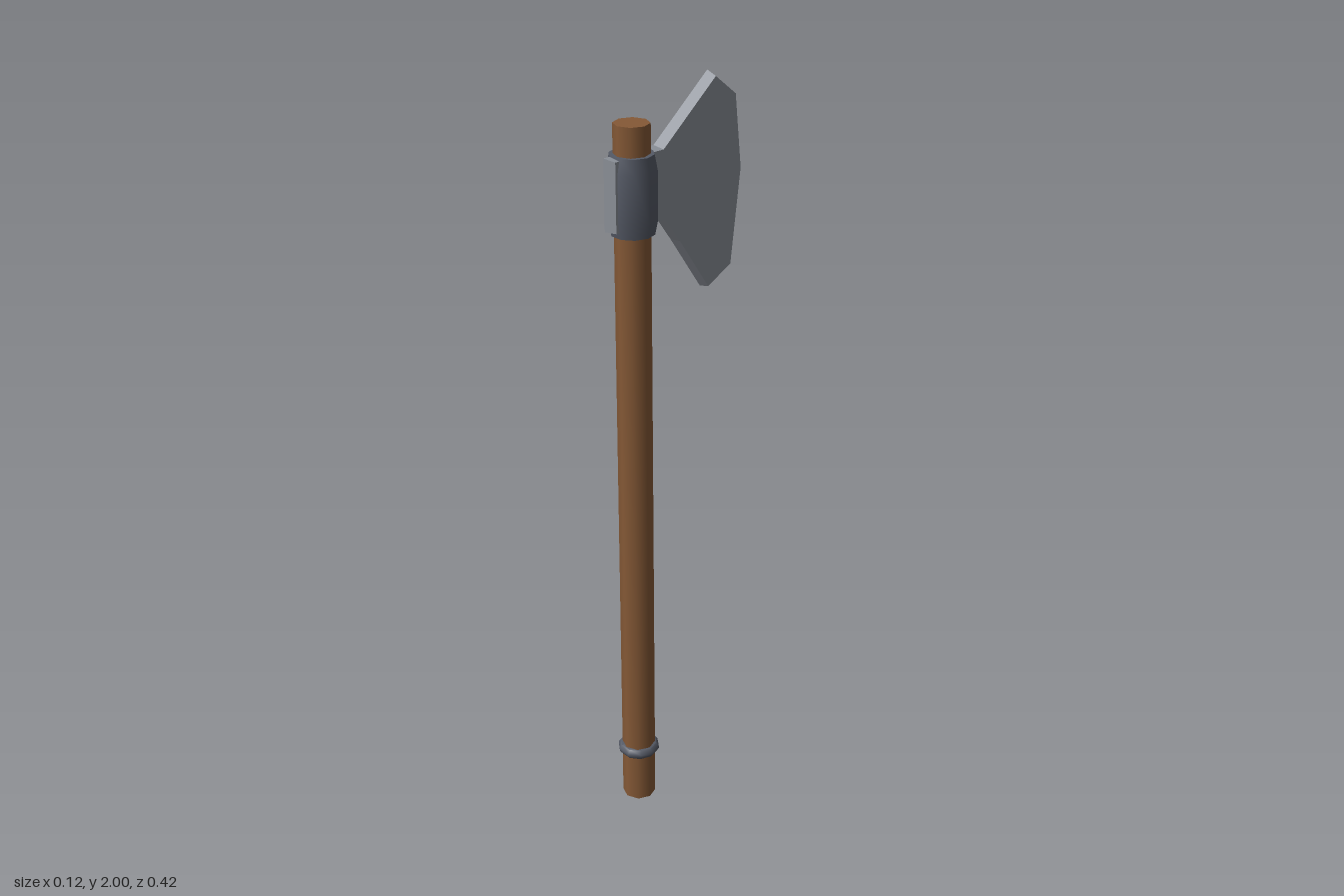
import * as THREE from 'three';
import { toCreasedNormals } from 'three/addons/utils/BufferGeometryUtils.js';

const wood = new THREE.MeshStandardMaterial({ name: 'brown wood', color: 0x855936 });
const steel = new THREE.MeshStandardMaterial({ name: 'pale steel', color: 0x8b9098 });
const iron = new THREE.MeshStandardMaterial({ name: 'dark iron', color: 0x555a66 });

const SHAFT_Z = 0.14;

function addPart(group, name, geometry, material, y = 0, z = 0) {
  const mesh = new THREE.Mesh(geometry, material);
  mesh.name = name;
  mesh.position.set(0, y, z);
  group.add(mesh);
}

// Turned part from [radius, y] pairs, first vertex on the x axis
function turned(profile, sides, crease) {
  const geometry = new THREE.LatheGeometry(profile.map(([r, y]) => new THREE.Vector2(r, y)), sides);
  geometry.rotateY(Math.PI / 2);
  return toCreasedNormals(geometry, crease);
}

// Flat plate that narrows slightly toward its +x face
function bladeGeometry() {
  const outline = [
    [0.212, 1.67], [0.05, 1.67], [0, 1.6], [-0.1, 1.452], [-0.18, 1.494],
    [-0.212, 1.748], [-0.19, 1.944], [-0.12, 2], [0.055, 1.85], [0.212, 1.85],
  ];
  const shape = new THREE.Shape(outline.map(([z, y]) => new THREE.Vector2(-z, y)));
  const geometry = new THREE.ExtrudeGeometry(shape, { depth: 0.034, bevelEnabled: false });
  geometry.rotateY(Math.PI / 2).translate(-0.018, 0, 0);
  const p = geometry.attributes.position;
  for (let i = 0; i < p.count; i++) {
    if (p.getX(i) < 0) continue;
    p.setY(i, 1.73 + (p.getY(i) - 1.73) * 0.968);
    p.setZ(i, p.getZ(i) * 0.968);
  }
  geometry.computeVertexNormals();
  return geometry;
}

export function createModel() {
  const axe = new THREE.Group();
  axe.name = 'axe';

  // Eight-sided shaft
  addPart(axe, 'shaft', new THREE.CylinderGeometry(0.045, 0.045, 1.925, 8), wood, 0.9625, SHAFT_Z);

  // Chamfered collar around the shaft
  const collar = [[0, 1.655], [0.055, 1.655], [0.062, 1.69], [0.062, 1.815], [0.055, 1.852], [0, 1.852]];
  addPart(axe, 'collar', turned(collar, 10, 0.7), iron, 0, SHAFT_Z);

  // Small grip ring near the butt
  const ring = [[0.04, 0.139], [0.05, 0.14], [0.057, 0.149], [0.057, 0.157], [0.05, 0.167], [0.04, 0.168]];
  addPart(axe, 'gripRing', turned(ring, 10, 0.9), iron, 0, SHAFT_Z);

  // Blade plate passing through the collar
  addPart(axe, 'blade', bladeGeometry(), steel);

  return axe;
}
